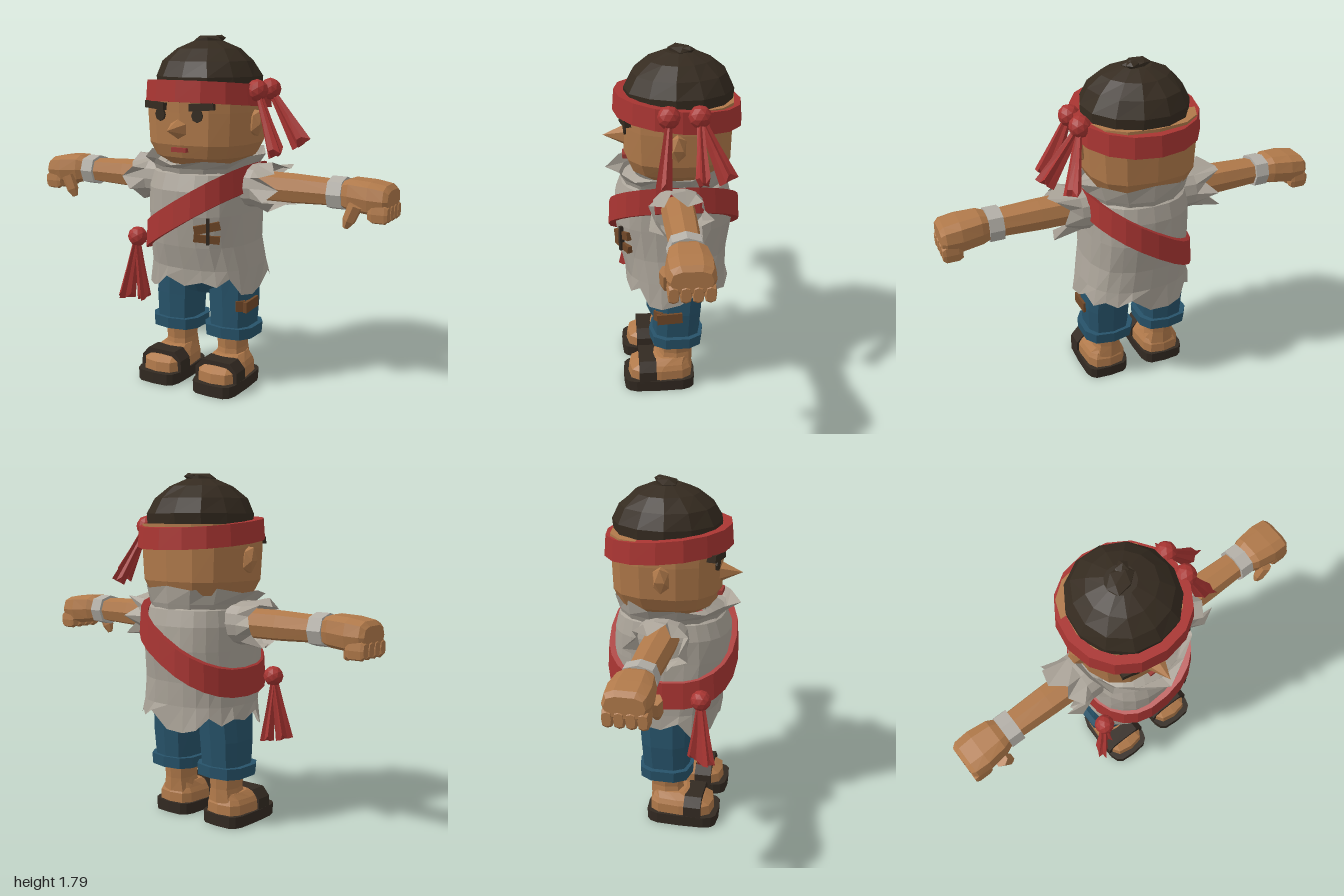
import * as THREE from 'three';

const mat = (name, color, side = THREE.FrontSide) => {
  const m = new THREE.MeshStandardMaterial({ color, flatShading: true, side });
  m.name = name;
  return m;
};

export function createModel() {
  const skin = mat('skin', 0xb0794a);
  const hairMat = mat('hair', 0x352b20);
  const red = mat('red cloth', 0xa93532, THREE.DoubleSide);
  const shirt = mat('linen', 0xaaa398, THREE.DoubleSide);
  const wrap = mat('wrist wrap', 0xb4b0a8);
  const denim = mat('blue cloth', 0x27536a);
  const brown = mat('brown patch', 0x714828);
  const leather = mat('dark leather', 0x332a22);
  const lip = mat('lip', 0x9c3a34);

  const model = new THREE.Group();
  model.name = 'figure';

  let seed = 7;
  const rand = () => ((seed = (seed * 16807) % 2147483647) / 2147483647);
  const rough = (amount) => () => [1 + (rand() - 0.5) * amount, 0];

  const add = (name, geo, material, parent = model, pos = [0, 0, 0], rot = [0, 0, 0], scale = [1, 1, 1]) => {
    const mesh = new THREE.Mesh(geo, material);
    mesh.name = name;
    mesh.position.set(...pos);
    mesh.rotation.set(...rot);
    mesh.scale.set(...scale);
    parent.add(mesh);
    return mesh;
  };
  const box = (w, h, d) => new THREE.BoxGeometry(w, h, d);

  // Skin over rounded sections [y, rx, rz, cx, cz, warp], listed bottom to top.
  // warp(i, x, z) gives [radius factor, height offset].
  function loft(sections, n, power = 1, caps = true) {
    const pos = [], idx = [];
    const round = (v) => Math.sign(v) * Math.abs(v) ** power;
    for (const [y, rx, rz, cx = 0, cz = 0, warp] of sections) {
      for (let i = 0; i < n; i++) {
        const a = (i / n) * Math.PI * 2;
        const x = rx * round(Math.sin(a)), z = rz * round(Math.cos(a));
        const [k, dy] = warp ? warp(i, x, z) : [1, 0];
        pos.push(cx + x * k, y + dy, cz + z * k);
      }
    }
    for (let s = 0; s < sections.length - 1; s++) {
      for (let i = 0; i < n; i++) {
        const j = (i + 1) % n, b = s * n, t = b + n;
        idx.push(b + i, b + j, t + j, b + i, t + j, t + i);
      }
    }
    if (caps) {
      const last = sections.length - 1;
      for (const s of [0, last]) {
        const [y, , , cx = 0, cz = 0] = sections[s];
        const c = pos.length / 3;
        pos.push(cx, y, cz);
        for (let i = 0; i < n; i++) {
          const p = s * n + i, q = s * n + ((i + 1) % n);
          if (s === 0) idx.push(c, q, p); else idx.push(c, p, q);
        }
      }
    }
    const g = new THREE.BufferGeometry();
    g.setAttribute('position', new THREE.Float32BufferAttribute(pos, 3));
    g.setIndex(idx);
    g.computeVertexNormals();
    return g;
  }

  // Cloth loop with thickness t
  const band = (y0, y1, rx, rz, t, n, power, cx, cz, warp) => loft([
    [y0, rx - t, rz - t, cx, cz, warp], [y0, rx, rz, cx, cz, warp],
    [y1, rx - 0.008, rz - 0.008, cx, cz, warp], [y1, rx - t, rz - t, cx, cz, warp],
  ], n, power, false);

  // Pleated cloth tail that widens from one point to another
  function tail(name, from, to, width) {
    const a = new THREE.Vector3(...from), dir = new THREE.Vector3(...to).sub(a);
    const pleat = (i) => [i % 2 ? 0.6 : 1, 0];
    const hem = (i) => [i % 2 ? 0.65 : 1, i % 3 ? 0 : -0.03];
    const len = dir.length();
    const mesh = add(name, loft([[0, 0.02, 0.015, 0, 0, pleat], [len * 0.5, width * 0.65, width * 0.4, 0, 0, pleat],
      [len, width, width * 0.6, 0, 0, hem]], 10), red, model, from);
    mesh.quaternion.setFromUnitVectors(new THREE.Vector3(0, 1, 0), dir.normalize());
  }

  // Head and face
  add('head', loft([[1.15, 0.17, 0.18, -0.01, -0.02], [1.195, 0.24, 0.245, -0.01, -0.02], [1.26, 0.275, 0.27, -0.01, -0.02],
    [1.42, 0.285, 0.275, -0.01, -0.02], [1.54, 0.28, 0.28, -0.01, -0.02]], 14, 0.75), skin);
  add('nose', new THREE.ConeGeometry(0.062, 0.13, 6), skin, model, [-0.02, 1.34, 0.288], [Math.PI / 2, 0, 0]);
  add('mouth', box(0.085, 0.022, 0.03), lip, model, [-0.015, 1.238, 0.243]);
  for (const s of [-1, 1]) {
    add('eye', new THREE.CylinderGeometry(0.03, 0.03, 0.02, 8), hairMat, model, [-0.02 + s * 0.105, 1.408, 0.24], [Math.PI / 2, 0, -s * 0.12], [1, 1, 1.1]);
    add('eyebrow', box(0.125, 0.035, 0.045), hairMat, model, [-0.02 + s * 0.13, 1.452, 0.237], [0, s * 0.2, s * 0.06]);
    add('ear', new THREE.IcosahedronGeometry(1, 0), skin, model, [-0.008 + s * 0.285, 1.365, 0], [0, 0, -s * 0.12], [0.042, 0.075, 0.045]);
  }

  // Hair with a small top knot
  add('hair', loft([[1.45, 0.265, 0.26, 0, -0.025], [1.59, 0.268, 0.275, 0, -0.025, rough(0.03)], [1.665, 0.23, 0.235, -0.005, -0.025, rough(0.05)],
    [1.725, 0.165, 0.16, -0.01, -0.03, rough(0.08)], [1.762, 0.075, 0.075, -0.01, -0.03]], 13), hairMat);
  add('topKnot', new THREE.IcosahedronGeometry(1, 0), hairMat, model, [-0.012, 1.765, -0.03], [0, 0.4, 0], [0.08, 0.028, 0.06]);
  add('topKnotTwist', new THREE.IcosahedronGeometry(1, 0), hairMat, model, [0.02, 1.772, -0.06], [0, 0.8, 0.1], [0.05, 0.02, 0.035]);

  // Headband, knots and tails
  add('headband', band(1.445, 1.55, 0.318, 0.322, 0.055, 16, 0.95, -0.005, -0.02, (i, x, z) => [1, z * 0.095]), red);
  for (const z of [0.045, -0.1]) add('headbandKnot', new THREE.IcosahedronGeometry(0.055, 1), red, model, [0.305, 1.527, z]);
  tail('headbandTail', [0.31, 1.52, 0.045], [0.43, 1.22, 0.08], 0.06);
  tail('headbandTail', [0.31, 1.52, -0.1], [0.485, 1.26, -0.1], 0.06);
  tail('headbandTail', [0.31, 1.52, -0.1], [0.4, 1.24, -0.225], 0.055);

  // Tattered shirt
  const rags = [0, 0.05, -0.02, 0.03, -0.035, 0.04, 0.01, -0.04];
  add('shirt', loft([[0.55, 0.295, 0.262, 0.012, -0.01, (i) => [1 + (i % 3) * 0.02, rags[(i * 3) % 8]]],
    [0.64, 0.287, 0.262, 0.01, -0.005], [0.76, 0.275, 0.278, 0, 0.005, rough(0.03)], [0.92, 0.268, 0.302, 0, 0.005, rough(0.02)],
    [1.04, 0.268, 0.295, 0, 0.005], [1.12, 0.25, 0.27], [1.16, 0.18, 0.2]], 24, 0.8, false), shirt);
  add('collar', loft([[1.1, 0.245, 0.26], [1.15, 0.27, 0.275],
    [1.2, 0.31, 0.305, 0, 0.01, (i, x, z) => [i === 0 ? 1.1 : 1 - (i % 2) * 0.04, (i % 2 ? 0.015 : 0) - z * 0.08]]], 14, 0.95, false), shirt);

  // Stitched patch on the shirt
  add('shirtPatch', box(0.13, 0.042, 0.03), brown, model, [0.152, 0.868, 0.266], [0, 0.5, 0.2]);
  add('shirtPatch', box(0.13, 0.038, 0.03), brown, model, [0.15, 0.812, 0.264], [0, 0.5, -0.1]);
  add('shirtStitch', box(0.016, 0.13, 0.04), leather, model, [0.158, 0.852, 0.268], [0, 0.5, 0]);

  // Sash from left shoulder to right hip
  add('sash', band(0.86, 0.995, 0.29, 0.338, 0.04, 24, 0.85, 0, 0, (i, x) => [1, x * 0.61]), red);
  add('sashKnot', new THREE.IcosahedronGeometry(0.052, 1), red, model, [-0.305, 0.76, 0.2]);
  tail('sashTail', [-0.31, 0.75, 0.2], [-0.36, 0.43, 0.235], 0.055);
  tail('sashTail', [-0.31, 0.75, 0.2], [-0.285, 0.42, 0.175], 0.05);

  add('seatOfShorts', loft([[0.48, 0.16, 0.1], [0.54, 0.24, 0.14], [0.66, 0.25, 0.18]], 12, 0.8), denim);

  for (const s of [1, -1]) {
    const half = new THREE.Group();
    half.name = s > 0 ? 'leftLimbs' : 'rightLimbs';
    half.scale.x = s;
    model.add(half);

    // Arm, lofted upward and laid along x
    const arm = new THREE.Group();
    arm.name = 'arm';
    arm.position.y = 1.055;
    arm.rotation.z = -Math.PI / 2;
    half.add(arm);
    add('forearm', loft([[0.2, 0.075, 0.085], [0.5, 0.074, 0.08], [0.78, 0.062, 0.07]], 8, 0.8), skin, arm);
    add('wristWrap', loft([[0.692, 0.08, 0.088], [0.765, 0.08, 0.088]], 8, 0.8), wrap, arm);
    add('sleeve', loft([[0.2, 0.115, 0.13], [0.31, 0.108, 0.13],
      [0.41, 0.115, 0.145, 0, 0, (i) => [i % 2 ? 1.12 : 0.8, [0.05, -0.02, 0.01, -0.04, 0.03][i % 5]]]], 14, 0.9, false), shirt, arm);
    add('hand', loft([[0.75, 0.062, 0.07], [0.8, 0.078, 0.095, -0.002], [0.9, 0.08, 0.11, 0.005], [0.975, 0.07, 0.105, 0.008],
      [0.996, 0.05, 0.09, 0.01]], 10, 0.65), skin, arm);
    for (let i = 0; i < 4; i++) {
      add('finger', loft([[0.905, 0.032, 0.021], [0.925, 0.046, 0.026], [0.985, 0.046, 0.026], [1.0, 0.032, 0.021]], 8, 0.6), skin, arm,
        [0.068, 0, -0.078 + i * 0.052]);
    }
    add('thumb', loft([[0, 0.014, 0.014], [0.04, 0.032, 0.03], [0.12, 0.036, 0.034]], 6), skin, half, [0.8, 0.91, 0.095], [0, 0, -0.4]);

    // Leg, rolled shorts and sandal
    add('shortsLeg', loft([[0.29, 0.112, 0.122, 0.16], [0.45, 0.122, 0.13, 0.16, -0.005], [0.62, 0.118, 0.14, 0.155, -0.01]], 10, 0.7), denim, half);
    add('shortsCuff', loft([[0.262, 0.138, 0.138, 0.16], [0.32, 0.142, 0.142, 0.16]], 10, 0.7), denim, half);
    add('shin', loft([[0.12, 0.085, 0.092, 0.157, 0.005], [0.19, 0.07, 0.085, 0.157], [0.28, 0.078, 0.09, 0.157]], 8, 0.75), skin, half);
    add('foot', loft([[0.055, 0.114, 0.172, 0.165, 0.085], [0.11, 0.112, 0.168, 0.165, 0.083], [0.135, 0.098, 0.14, 0.165, 0.068],
      [0.165, 0.075, 0.085, 0.16, 0.02]], 12, 0.6), skin, half);
    add('sole', loft([[0, 0.122, 0.188, 0.167, 0.092], [0.06, 0.124, 0.19, 0.167, 0.092]], 16, 0.45), leather, half);
    const strap = new THREE.Shape([[-0.122, 0.05], [0.122, 0.05], [0.12, 0.115], [0.08, 0.16], [-0.08, 0.16], [-0.12, 0.115]]
      .map(([x, y]) => new THREE.Vector2(x, y)));
    add('sandalStrap', new THREE.ExtrudeGeometry(strap, { depth: 0.09, bevelEnabled: false }), leather, half, [0.166, 0, 0.11]);
  }

  // Patch on the left leg of the shorts
  add('shortsPatch', box(0.02, 0.055, 0.13), brown, model, [0.28, 0.44, 0.04], [0.06, 0, 0]);
  add('shortsPatch', box(0.05, 0.055, 0.02), brown, model, [0.252, 0.44, 0.098], [0, 0.7, 0]);

  return model;
}
